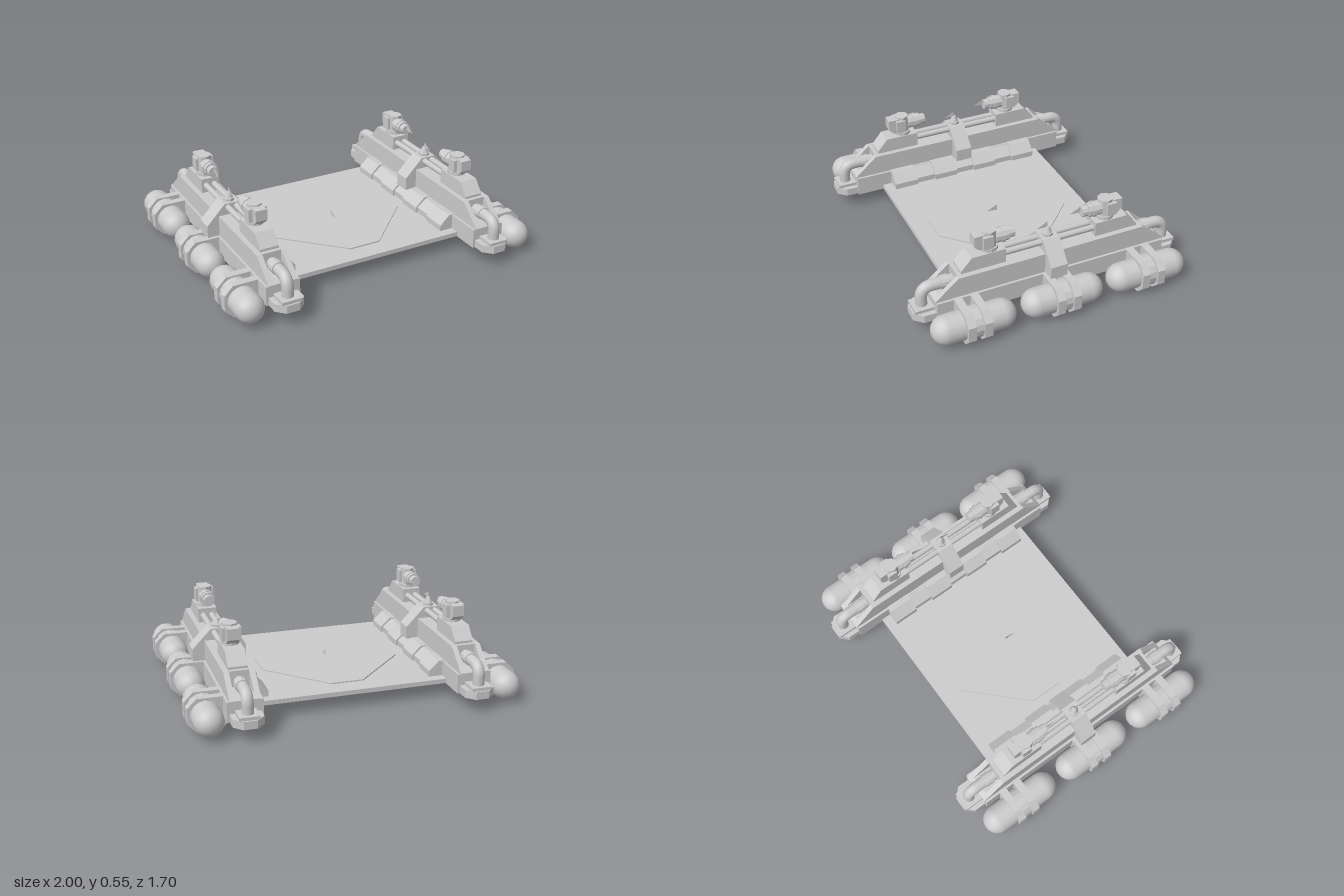
import * as THREE from 'three';

const flat = new THREE.MeshStandardMaterial({ color: 0xcccccc, flatShading: true });
const smooth = new THREE.MeshStandardMaterial({ color: 0xcccccc });
const thin = new THREE.MeshStandardMaterial({ color: 0xcccccc, side: THREE.DoubleSide });
const RAIL_X = 0.69;

function add(parent, name, geometry, x = 0, y = 0, z = 0, material = flat) {
  const mesh = new THREE.Mesh(geometry, material);
  mesh.name = name;
  mesh.position.set(x, y, z);
  parent.add(mesh);
  return mesh;
}

const box = (w, h, d) => new THREE.BoxGeometry(w, h, d);
const toShape = (pts) => new THREE.Shape(pts.map(([a, b]) => new THREE.Vector2(a, b)));

function extrude(pts, depth) {
  return new THREE.ExtrudeGeometry(toShape(pts), { depth, bevelEnabled: false }).translate(0, 0, -depth / 2);
}
// Outline in (x, y), centred thickness along z
const alongZ = (pts, depth) => extrude(pts, depth);
// Outline in (z, y), centred thickness along x
const alongX = (pts, depth) => extrude(pts, depth).rotateY(-Math.PI / 2);
// Outline in (x, z), from y0 up to y1
const alongY = (pts, y0, y1) => extrude(pts.map(([x, z]) => [x, -z]), y1 - y0).rotateX(-Math.PI / 2).translate(0, (y0 + y1) / 2, 0);

// Thin upright triangle, pointing to +z
function fin(parent, x, y, z) {
  const geometry = new THREE.ShapeGeometry(toShape([[0.07, 0], [0, 0.035], [0, -0.005]])).rotateY(-Math.PI / 2);
  add(parent, 'fin', geometry, x, y, z, thin);
}

// Capsule float with its two mounting brackets
function buildFloat(parent, s, z) {
  const g = new THREE.Group();
  g.name = 'float';
  g.position.z = z;
  parent.add(g);
  const x = s * 0.895;
  add(g, 'floatBody', new THREE.CapsuleGeometry(0.088, 0.334, 5, 16).rotateX(Math.PI / 2), x, 0.103, 0, smooth);
  add(g, 'floatStrap', new THREE.CylinderGeometry(0.094, 0.094, 0.06, 16).rotateX(Math.PI / 2), x, 0.103, 0);
  const outline = [[1, 0.055], [1, 0.15], [0.945, 0.205], [0.75, 0.205], [0.73, 0.09], [0.81, 0], [0.945, 0]];
  for (const dz of [-0.05, 0.05]) {
    add(g, 'floatBracket', alongZ(outline.map(([px, py]) => [s * px, py]), 0.048), 0, 0, dz);
  }
}

// Foot, bent pipe and tower with turret at one end (e = 1 front, -1 back)
function buildEnd(rail, e) {
  const foot = [[-0.09, 0.7], [0.09, 0.7], [0.09, 0.8], [0.04, 0.85], [-0.04, 0.85], [-0.09, 0.8]];
  add(rail, 'foot', alongY(foot.map(([x, z]) => [x, z * e]), 0.087, 0.135));
  add(rail, 'pipeBase', box(0.12, 0.02, 0.12), 0, 0.145, e * 0.78);

  const v = (y, z) => new THREE.Vector3(0, y, z * e);
  const path = new THREE.CurvePath();
  path.add(new THREE.LineCurve3(v(0.14, 0.782), v(0.2, 0.782)));
  path.add(new THREE.QuadraticBezierCurve3(v(0.2, 0.782), v(0.266, 0.782), v(0.266, 0.715)));
  path.add(new THREE.LineCurve3(v(0.266, 0.715), v(0.266, 0.59)));
  add(rail, 'pipe', new THREE.TubeGeometry(path, 24, 0.035, 12, false), 0, 0, 0, smooth);
  add(rail, 'pipeCollar', new THREE.CylinderGeometry(0.041, 0.041, 0.05, 12).rotateX(Math.PI / 2), 0, 0.266, e * 0.645);

  const tower = [[0.56, 0.32], [0.56, 0.345], [0.495, 0.42], [0.285, 0.42], [0.285, 0.32]];
  add(rail, 'tower', alongX(tower.map(([z, y]) => [z * e, y]), 0.115));

  // Turret aims towards the middle
  const t = new THREE.Group();
  t.name = 'turret';
  t.position.z = e * 0.37;
  rail.add(t);
  add(t, 'turretBase', new THREE.CylinderGeometry(0.055, 0.055, 0.02, 12), 0, 0.43, 0);
  add(t, 'turretPivot', new THREE.CylinderGeometry(0.046, 0.046, 0.125, 8), 0, 0.4825, 0);
  const rear = [[0, 0.44], [0.068, 0.44], [0.097, 0.468], [0.097, 0.535], [0, 0.535]];
  add(t, 'turretRear', alongX(rear.map(([z, y]) => [z * e, y]), 0.07));
  add(t, 'turretCheeks', box(0.115, 0.08, 0.06), 0, 0.488, e * 0.02);
  const rod = (name, r, length, z) =>
    add(t, name, new THREE.CylinderGeometry(r, r, length, 10).rotateX(Math.PI / 2), 0, 0.488, -e * z);
  rod('barrel', 0.043, 0.085, 0.075);
  rod('barrelBand', 0.048, 0.022, 0.082);
  rod('muzzle', 0.033, 0.04, 0.135);
}

// Centre-line rail, built around x = 0 and moved to its side
function buildRail(root, s) {
  const rail = new THREE.Group();
  rail.name = s > 0 ? 'leftRail' : 'rightRail';
  rail.position.x = s * RAIL_X;
  root.add(rail);

  add(rail, 'railBase', box(0.21, 0.119, 1.45), 0, 0.1445, 0);
  // Hull side walls, with a core notched for the pipes at both ends
  const wall = [[-0.73, 0.2], [0.73, 0.2], [0.73, 0.21], [0.59, 0.33], [-0.59, 0.33], [-0.73, 0.21]];
  for (const x of [-0.074, 0.074]) add(rail, 'hullWall', alongX(wall, 0.032), x);
  const half = [[0.73, 0.2], [0.73, 0.21], [0.7, 0.235], [0.585, 0.235], [0.585, 0.33]];
  const core = [...half, ...half.map(([z, y]) => [-z, y]).reverse()];
  add(rail, 'hullCore', alongX(core, 0.116));

  // Arch across the hull with a finial
  const arch = [[-0.165, 0.2], [0.165, 0.2], [0.165, 0.28], [0.05, 0.4], [-0.05, 0.4], [-0.165, 0.28]];
  add(rail, 'arch', alongZ(arch, 0.105));
  add(rail, 'finialBase', new THREE.CylinderGeometry(0.035, 0.035, 0.015, 8), 0, 0.407, 0);
  add(rail, 'finial', new THREE.CylinderGeometry(0.013, 0.03, 0.04, 8), 0, 0.43, 0);
  fin(rail, 0, 0.45, 0);

  for (const x of [-0.027, 0.027]) {
    add(rail, 'topPipe', new THREE.CylinderGeometry(0.019, 0.019, 0.6, 10).rotateX(Math.PI / 2), x, 0.375, 0, smooth);
  }
  buildEnd(rail, 1);
  buildEnd(rail, -1);
  fin(rail, 0, 0.49, -0.21);
}

// Sloped bumper: continuous strip with four raised blocks
function buildBumper(root, s) {
  const outline = (inset) => [[0.5 + inset, 0.1], [0.5 + inset, 0.15], [0.56 + inset, 0.208 - inset / 2], [0.6, 0.208 - inset / 2], [0.6, 0.1]]
    .map(([x, y]) => [s * x, y]);
  add(root, 'bumperStrip', alongZ(outline(0.014), 0.98));
  for (const z of [-0.42, -0.14, 0.14, 0.42]) add(root, 'bumperBlock', alongZ(outline(0), 0.155), 0, 0, z);
}

export function createModel() {
  const root = new THREE.Group();
  root.name = 'landingPlatform';

  add(root, 'deck', box(1.24, 0.028, 1.115), 0, 0.1, 0);
  const a = 0.435, b = 0.1;
  const pad = [[a, b], [b, a], [-b, a], [-a, b], [-a, -b], [-b, -a], [b, -a], [a, -b]];
  add(root, 'landingPad', alongY(pad, 0.1, 0.122));
  fin(root, 0, 0.13, 0);

  for (const s of [1, -1]) {
    buildRail(root, s);
    buildBumper(root, s);
    for (const z of [-0.552, 0, 0.552]) buildFloat(root, s, z);
  }
  return root;
}
